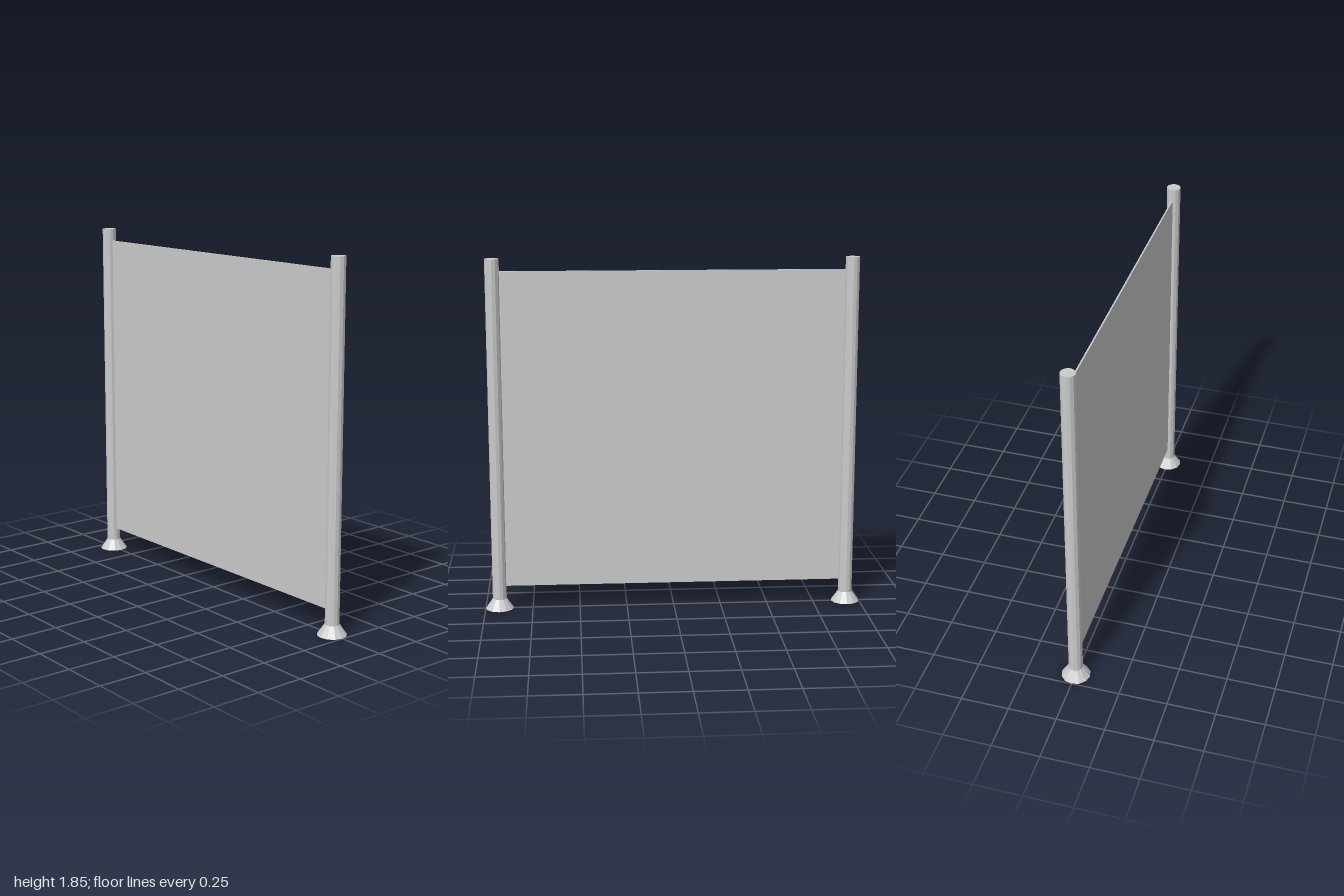
import * as THREE from 'three';

export function createModel() {
  const model = new THREE.Group();
  model.name = 'partitionScreen';
  const material = new THREE.MeshStandardMaterial({ color: 0xcccccc, flatShading: true });

  const SIDES = 12;
  const POST_R = 0.037, FOOT_R = 0.075;
  const POST_H = 1.85, FOOT_H = 0.055;
  const POST_Z = 1 - FOOT_R;

  const add = (parent, name, geometry, y) => {
    const mesh = new THREE.Mesh(geometry, material);
    mesh.name = name;
    mesh.position.y = y;
    parent.add(mesh);
  };

  // A round post on a flared foot at each end
  for (const [side, name] of [[1, 'frontPost'], [-1, 'backPost']]) {
    const post = new THREE.Group();
    post.name = name;
    post.position.z = side * POST_Z;
    add(post, 'shaft', new THREE.CylinderGeometry(POST_R, POST_R, POST_H - FOOT_H, SIDES, 1), (POST_H + FOOT_H) / 2);
    add(post, 'foot', new THREE.CylinderGeometry(POST_R, FOOT_R, FOOT_H, SIDES, 1), FOOT_H / 2);
    model.add(post);
  }

  // Thin panel whose ends sit inside the posts
  const bottom = 0.122, top = 1.786;
  add(model, 'panel', new THREE.BoxGeometry(0.008, top - bottom, 2 * (POST_Z - POST_R / 2)), (top + bottom) / 2);

  return model;
}
